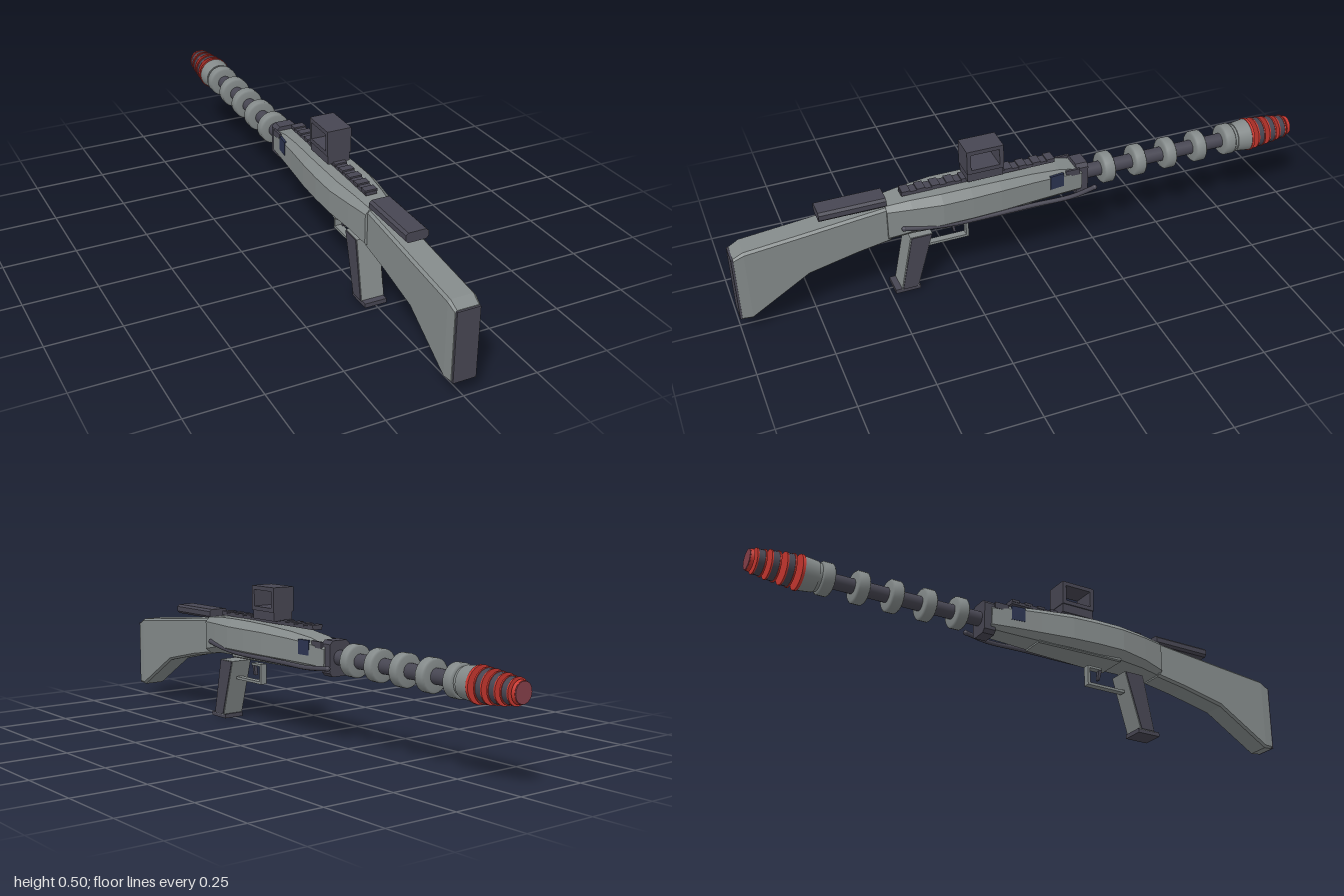
import * as THREE from 'three';

const mat = (name, color, extra = {}) => {
  const m = new THREE.MeshStandardMaterial({ color, ...extra });
  m.name = name;
  return m;
};

export function createModel() {
  const grey = mat('grey', 0x848a8a, { flatShading: true });
  const steel = mat('smooth grey', 0x848a8a);
  const dark = mat('dark', 0x474652);
  const red = mat('red', 0xc8372f);
  const capRed = mat('dull red', 0x86404a);
  const navy = mat('navy', 0x2b3350);
  const root = new THREE.Group();
  const AXIS = 0.293;

  const add = (name, geo, material, x = 0, y = 0, z = 0) => {
    const m = new THREE.Mesh(geo, material);
    m.name = name;
    m.position.set(x, y, z);
    root.add(m);
    return m;
  };
  // box from its bounds
  const box = (name, material, x0, x1, y0, y1, z0, z1) =>
    add(name, new THREE.BoxGeometry(x1 - x0, y1 - y0, z1 - z0), material,
      (x0 + x1) / 2, (y0 + y1) / 2, (z0 + z1) / 2);

  // chamfered rectangles [z, halfWidth, bottom, top, chamfer] joined along increasing z
  const loft = (sections) => {
    const rings = sections.map(([z, w, b, t, c]) => [
      [w, b + c], [w, t - c], [w - c, t], [c - w, t],
      [-w, t - c], [-w, b + c], [c - w, b], [w - c, b],
    ].map(([x, y]) => [x, y, z]));
    const pos = [];
    const tri = (...p) => p.forEach((v) => pos.push(...v));
    for (let s = 0; s < rings.length - 1; s++) {
      for (let i = 0; i < 8; i++) {
        const j = (i + 1) % 8, a = rings[s], b = rings[s + 1];
        tri(a[i], a[j], b[j]);
        tri(a[i], b[j], b[i]);
      }
    }
    const first = rings[0], last = rings[rings.length - 1];
    for (let i = 1; i < 7; i++) {
      tri(first[0], first[i + 1], first[i]);
      tri(last[0], last[i], last[i + 1]);
    }
    const g = new THREE.BufferGeometry();
    g.setAttribute('position', new THREE.Float32BufferAttribute(pos, 3));
    g.computeVertexNormals();
    return g;
  };

  // side outline [z, y] given a width along x
  const slab = (outline, width, hole) => {
    const pts = (a) => a.map(([z, y]) => new THREE.Vector2(z, y));
    const shape = new THREE.Shape(pts(outline));
    if (hole) shape.holes.push(new THREE.Path(pts(hole)));
    const g = new THREE.ExtrudeGeometry(shape, { depth: width, bevelEnabled: false });
    return g.translate(0, 0, -width / 2).rotateY(-Math.PI / 2);
  };
  const rect = (z0, z1, y0, y1) => [[z0, y0], [z1, y0], [z1, y1], [z0, y1]];

  // cylinder along z, from z0 (radius r0) to z1 (radius r1)
  const tube = (name, material, r0, r1, z0, z1) =>
    add(name, new THREE.CylinderGeometry(r1, r0, z1 - z0, 24).rotateX(Math.PI / 2),
      material, 0, AXIS, (z0 + z1) / 2);

  // Stock, butt pad and cheek rest
  add('stock', loft([
    [0.49, 0.045, 0.226, 0.357, 0.008],
    [0.60, 0.045, 0.207, 0.346, 0.008],
    [0.765, 0.045, 0.170, 0.329, 0.008],
    [0.96, 0.045, 0.050, 0.310, 0.008],
    [0.993, 0.041, 0.053, 0.292, 0.006],
  ]), grey);
  box('buttPad', dark, -0.038, 0.038, 0.054, 0.29, 0.99, 1.0);
  add('cheekRest', loft([
    [0.495, 0.038, 0.355, 0.388, 0.008], [0.715, 0.038, 0.355, 0.388, 0.008],
  ]), dark);

  // Receiver with a shallow belly plate
  add('receiver', loft([
    [-0.18, 0.046, 0.250, 0.332, 0.012],
    [-0.10, 0.054, 0.248, 0.350, 0.017],
    [0.00, 0.064, 0.246, 0.361, 0.021],
    [0.12, 0.077, 0.245, 0.370, 0.024],
    [0.22, 0.082, 0.244, 0.373, 0.026],
    [0.32, 0.082, 0.244, 0.373, 0.026],
    [0.42, 0.068, 0.240, 0.369, 0.022],
    [0.50, 0.053, 0.230, 0.361, 0.016],
  ]), grey);
  add('bellyPlate', loft([
    [0.0, 0.045, 0.240, 0.256, 0.004], [0.32, 0.060, 0.236, 0.256, 0.004],
  ]), grey);

  // Top rail with slats
  box('rail', dark, -0.019, 0.019, 0.372, 0.383, -0.09, 0.44);
  for (let i = 0; i < 11; i++) {
    const z = -0.09 + i * 0.05;
    box('railSlat', dark, -0.021, 0.021, 0.379, 0.388, z, z + 0.028);
  }

  // Sight, open from side to side
  box('sightBase', dark, -0.038, 0.038, 0.383, 0.416, 0.10, 0.222);
  add('sightFrame', slab(rect(0.098, 0.224, 0.413, 0.498), 0.084,
    rect(0.112, 0.210, 0.427, 0.484)), dark);

  // Side mechanisms near the front of the receiver
  for (const s of [-1, 1]) {
    const plate = box('sidePlate', navy, -0.004, 0.004, 0.293, 0.343, -0.11, -0.06);
    plate.position.x = s * 0.053;
    plate.rotation.y = s * 0.11;
    const clip = box('sideClip', dark, -0.004, 0.004, 0.322, 0.344, -0.17, -0.12);
    clip.position.x = s * 0.046;
  }

  // Rod along the left flank
  const path = new THREE.CatmullRomCurve3([
    [0.064, 0.278, 0.45], [0.071, 0.268, 0.38], [0.073, 0.259, 0.28],
    [0.073, 0.258, 0.0], [0.075, 0.258, -0.13], [0.062, 0.264, -0.22],
  ].map((p) => new THREE.Vector3(...p)));
  add('sideRod', new THREE.TubeGeometry(path, 40, 0.008, 8), dark);
  for (const t of [0, 1]) {
    const p = path.getPoint(t);
    add('rodEnd', new THREE.SphereGeometry(0.009, 10, 8), dark, p.x, p.y, p.z);
  }

  // Pistol grip with dark side panels and foot
  const grip = [[0.465, 0.012], [0.408, 0.012], [0.35, 0.215], [0.425, 0.215]];
  add('grip', slab(grip, 0.078), grey);
  const panel = [[0.461, 0.014], [0.411, 0.014], [0.353, 0.213], [0.421, 0.213]];
  for (const s of [-1, 1]) add('gripPanel', slab(panel, 0.004), dark, s * 0.040);
  box('gripFoot', dark, -0.038, 0.038, 0, 0.015, 0.40, 0.486);

  // Trigger and guard
  box('guardBottom', grey, -0.012, 0.012, 0.147, 0.156, 0.215, 0.365);
  box('guardFront', grey, -0.012, 0.012, 0.147, 0.218, 0.215, 0.224);
  box('guardTop', grey, -0.012, 0.012, 0.210, 0.218, 0.215, 0.27);
  add('trigger', slab([[0.258, 0.174], [0.266, 0.174], [0.276, 0.214], [0.264, 0.214]],
    0.012), dark);

  // Collar and barrel
  add('collar', loft([
    [-0.205, 0.040, 0.232, 0.350, 0.012], [-0.163, 0.040, 0.232, 0.350, 0.012],
  ]), dark);
  tube('barrel', dark, 0.025, 0.025, -0.80, -0.17);

  // Rounded barrel rings
  const ringProfile = [[0.02, -0.021], [0.048, -0.021], [0.054, -0.015],
    [0.054, 0.015], [0.048, 0.021], [0.02, 0.021]];
  const ringGeo = new THREE.LatheGeometry(
    ringProfile.map(([r, y]) => new THREE.Vector2(r, y)), 24).rotateX(Math.PI / 2);
  for (let i = 0; i < 5; i++) {
    add('barrelRing', ringGeo, steel, 0, AXIS, -0.285 - i * 0.1165);
  }

  // Muzzle: flared grey base, then separate shrinking discs with red rims
  tube('muzzleNeck', steel, 0.046, 0.046, -0.79, -0.76);
  tube('muzzleBase', steel, 0.056, 0.050, -0.832, -0.782);
  tube('muzzleRim', red, 0.058, 0.058, -0.841, -0.832);
  [[-0.874, 0.055], [-0.921, 0.050], [-0.964, 0.044]].forEach(([z, r]) => {
    tube('muzzleDisc', dark, r - 0.004, r - 0.003, z - 0.01, z + 0.01);
    tube('muzzleDiscRim', red, r - 0.002, r - 0.002, z - 0.015, z - 0.010);
    tube('muzzleDiscRim', red, r, r, z + 0.010, z + 0.015);
  });
  tube('muzzleTip', red, 0.034, 0.036, -0.997, -0.986);
  tube('muzzleCap', capRed, 0.033, 0.033, -1.0, -0.997);

  return root;
}
